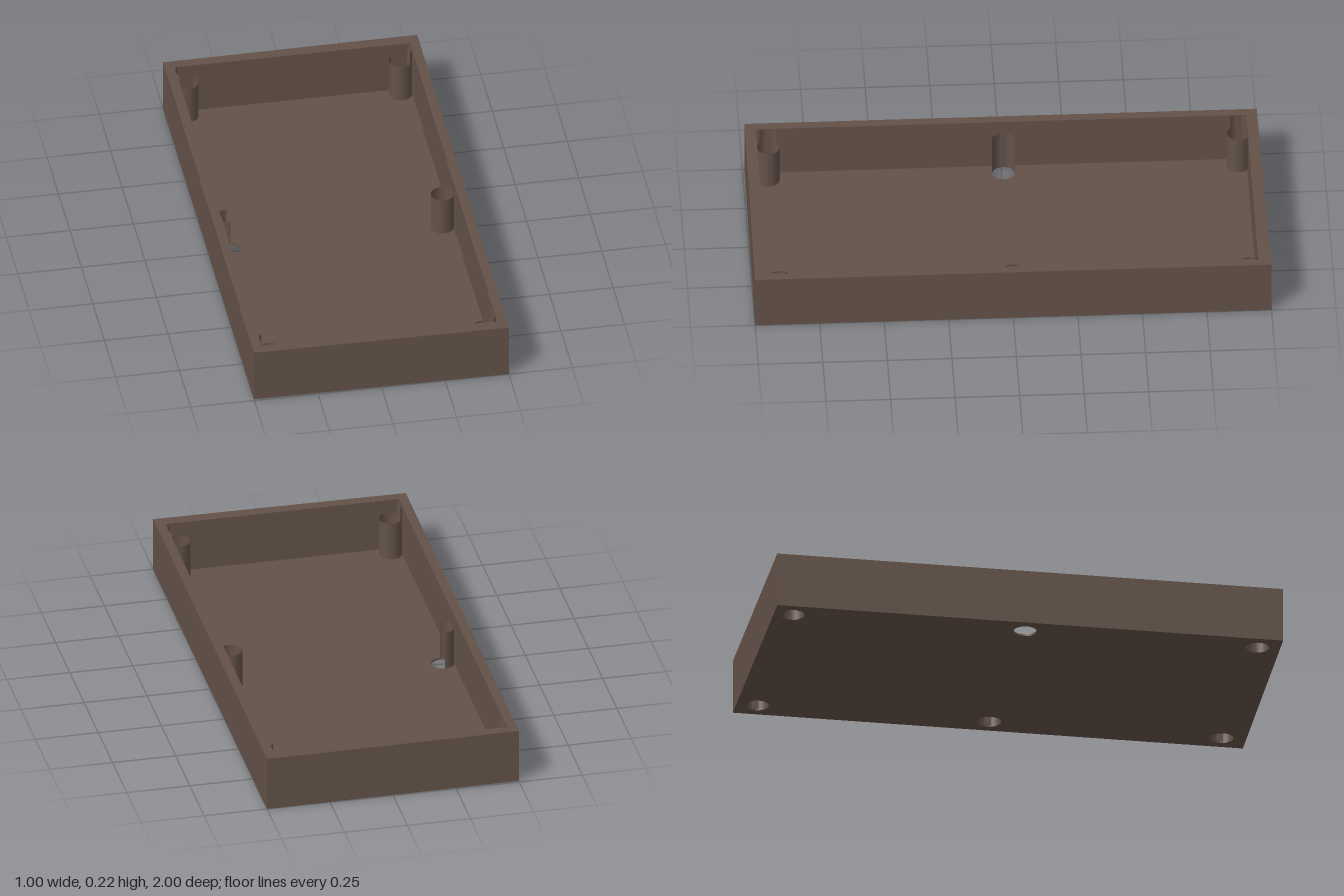
import * as THREE from 'three';

const HEIGHT = 0.22, FLOOR = 0.008;
const POST_R = 0.045, POST_TOP = 0.165;

// Plan outline: half width, half length on the right (-x) side and on the left (+x) side
function outline(PathType, hx, hzRight, hzLeft) {
  return new PathType().moveTo(-hx, -hzRight).lineTo(hx, -hzLeft).lineTo(hx, hzLeft).lineTo(-hx, hzRight).closePath();
}

// Extrude a plan outline upward from height y
function slab(shape, y, height) {
  const geometry = new THREE.ExtrudeGeometry(shape, { depth: height, bevelEnabled: false, curveSegments: 24 });
  return geometry.rotateX(-Math.PI / 2).translate(0, y, 0);
}

export function createModel() {
  const group = new THREE.Group();
  const brown = new THREE.MeshStandardMaterial({ color: 0x635148, side: THREE.DoubleSide });
  brown.name = 'dark brown';

  const add = (name, geometry) => {
    const mesh = new THREE.Mesh(geometry, brown);
    mesh.name = name;
    group.add(mesh);
  };

  const spots = [];
  for (const x of [-0.42, 0.42]) for (const z of [-0.918, -0.007, 0.904]) spots.push([x, z]);

  // Thin floor plate with six screw holes
  const floor = outline(THREE.Shape, 0.5, 0.992, 1);
  for (const [x, z] of spots) {
    floor.holes.push(new THREE.Path().absarc(x, -z, POST_R, 0, Math.PI * 2, true));
  }
  add('floor', slab(floor, 0, FLOOR));

  // Surrounding walls, very slightly tapered in plan
  const walls = outline(THREE.Shape, 0.5, 0.992, 1);
  walls.holes.push(outline(THREE.Path, 0.463, 0.95, 0.95));
  add('walls', slab(walls, FLOOR, HEIGHT - FLOOR));

  // Thin hollow posts
  const tube = (name, x, z, y0, y1, start, sweep) => {
    const geometry = new THREE.CylinderGeometry(POST_R, POST_R, y1 - y0, 24, 1, true, start, sweep);
    add(name, geometry.translate(x, (y0 + y1) / 2, z));
  };
  for (const [x, z] of spots) {
    const wallSide = x > 0 ? 0 : Math.PI;
    const middle = Math.abs(z) < 0.1;
    const open = middle && x < 0; // the middle right post is open inward
    tube('post', x, z, FLOOR, POST_TOP, wallSide, open ? Math.PI : Math.PI * 2);
    // Corner posts keep a narrow strip up to the rim
    if (!middle) tube('postStrip', x, z, POST_TOP, HEIGHT, wallSide + Math.PI / 4, Math.PI / 2);
  }
  return group;
}
